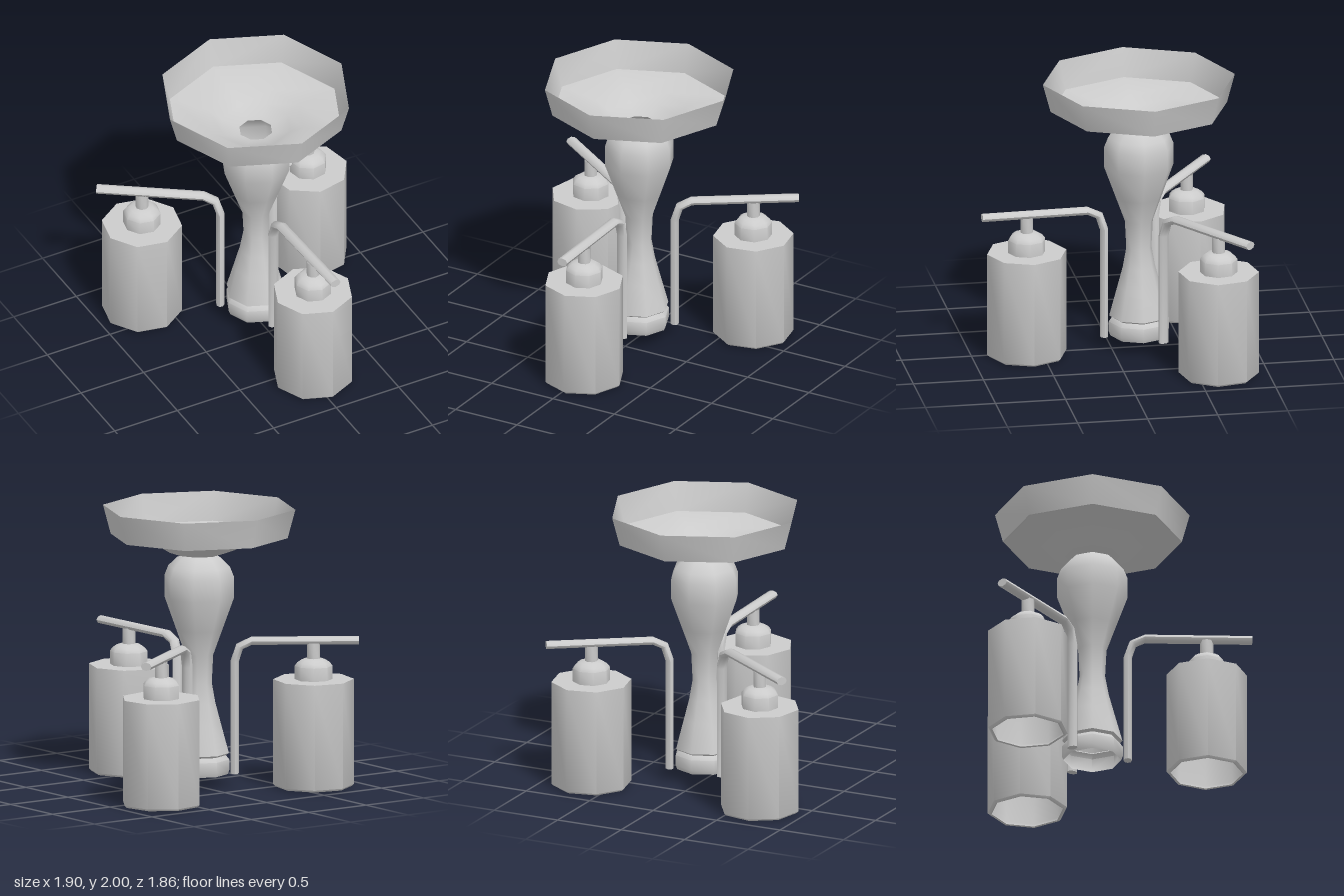
import * as THREE from 'three';
import { toCreasedNormals } from 'three/addons/utils/BufferGeometryUtils.js';

const SIDES = 8;
const AXIS_Z = -0.195;
const material = new THREE.MeshStandardMaterial({ color: 0xcccccc, side: THREE.DoubleSide });

function part(name, geometry, crease = 0.9) {
  const mesh = new THREE.Mesh(toCreasedNormals(geometry, crease), material);
  mesh.name = name;
  return mesh;
}

// Eight-sided turned part from [radius, height] pairs
function turned(name, profile) {
  const points = profile.map(([r, y]) => new THREE.Vector2(r, y));
  return part(name, new THREE.LatheGeometry(points, SIDES));
}

// Bent rod: a cylinder whose rings are moved onto a [z, y] path
function bentRod(path, halfWidth, halfDepth) {
  const n = path.length - 1;
  const geometry = new THREE.CylinderGeometry(1, 1, 1, SIDES, n);
  const pos = geometry.attributes.position;
  for (let i = 0; i < pos.count; i++) {
    const k = Math.round((pos.getY(i) + 0.5) * n);
    const a = path[Math.max(k - 1, 0)], b = path[Math.min(k + 1, n)];
    const angle = Math.atan2(b[1] - a[1], b[0] - a[0]);
    const d = pos.getZ(i) * halfDepth;
    pos.setXYZ(i, pos.getX(i) * halfWidth,
      path[k][1] - Math.cos(angle) * d, path[k][0] + Math.sin(angle) * d);
  }
  return geometry;
}

// One arm reaching along +z with its lamp hanging below
function lampArm(name, angle) {
  const group = new THREE.Group();
  group.name = name;
  group.position.z = AXIS_Z;
  group.rotation.y = angle;

  const path = [[0.25, 0.1], [0.25, 0.9], [0.285, 1.005], [0.37, 1.045], [1.125, 1.045]];
  group.add(part('arm', bentRod(path, 0.04, 0.03), 1.0));

  const lamp = new THREE.Group();
  lamp.name = 'lamp';
  lamp.position.z = 0.805;
  lamp.add(
    // Hollow shade, open at the bottom
    turned('shade', [
      [0, 0.75], [0.262, 0.75], [0.262, 0.03], [0.255, 0.01], [0.268, 0.005],
      [0.284, 0.02], [0.284, 0.77], [0, 0.77],
    ]),
    // Domed socket with hanger
    turned('socket', [
      [0.133, 0.765], [0.133, 0.865], [0.115, 0.89], [0.085, 0.91],
      [0.046, 0.918], [0.046, 1.03],
    ]),
  );
  group.add(lamp);
  return group;
}

export function createModel() {
  const model = new THREE.Group();
  model.name = 'ceilingLamp';

  // Open dish at the ceiling, funnelling down into the column
  const canopy = turned('canopy', [
    [0.12, 1.66], [0.16, 1.667], [0.255, 1.70], [0.35, 1.755], [0.63, 1.795], [0.685, 2],
  ]);
  // Hollow baluster column
  const column = turned('column', [
    [0.19, 0.235], [0.212, 0.25], [0.155, 0.46], [0.115, 0.61], [0.09, 0.75],
    [0.1, 0.95], [0.165, 1.13], [0.248, 1.36], [0.248, 1.51], [0.22, 1.58],
    [0.16, 1.64], [0.12, 1.66],
  ]);
  // Rounded ring at the foot of the column
  const foot = turned('footRing', [
    [0.203, 0.1], [0.215, 0.13], [0.215, 0.205], [0.19, 0.235],
  ]);
  for (const mesh of [canopy, column, foot]) {
    mesh.position.z = AXIS_Z;
    model.add(mesh);
  }

  model.add(lampArm('frontArm', 0.03), lampArm('leftArm', 2.172), lampArm('rightArm', -2.172));
  return model;
}
